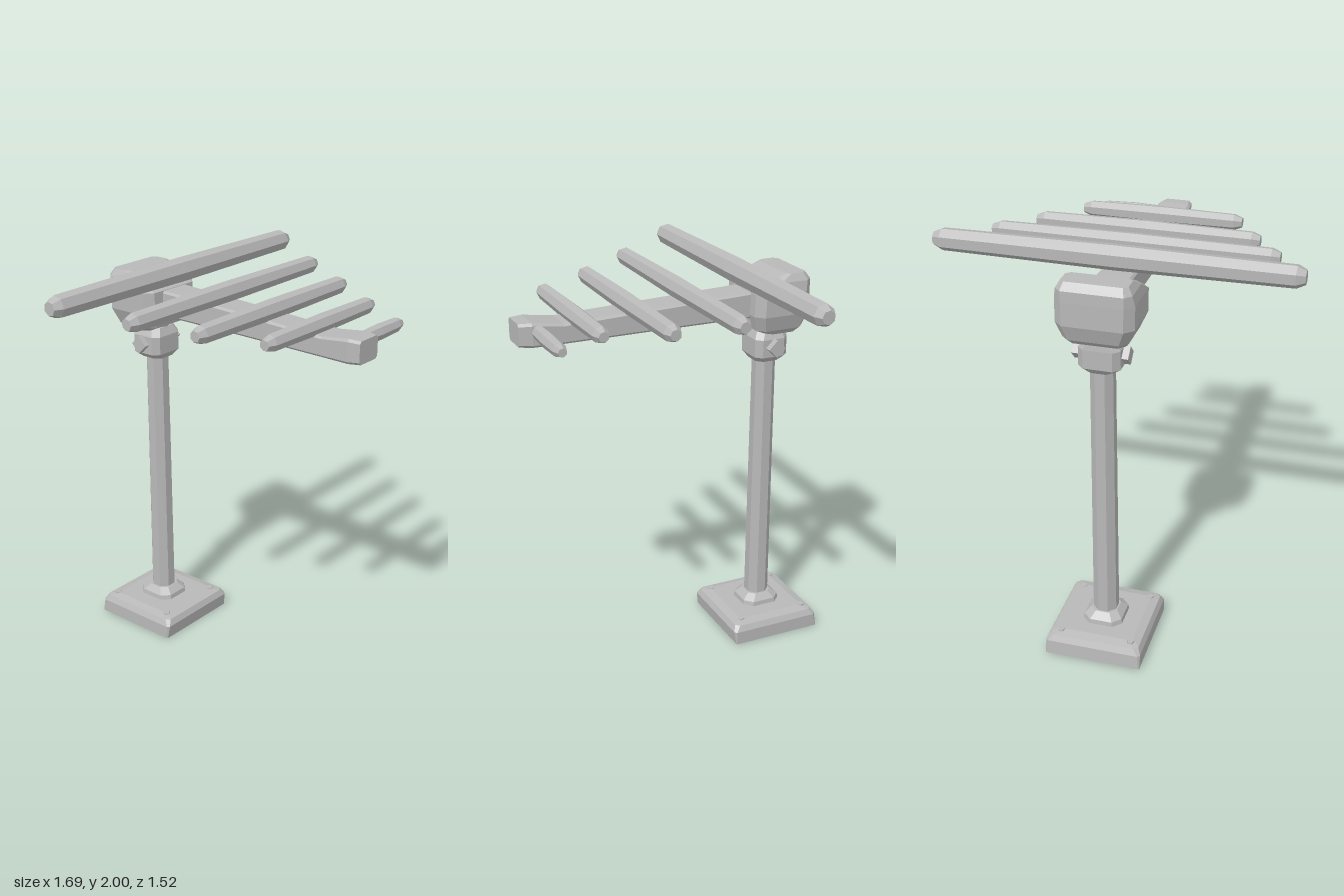
import * as THREE from 'three';

const gray = new THREE.MeshStandardMaterial({ color: 0xb8b8b8 });
gray.name = 'plain gray';
gray.flatShading = true;

// Closed loft along y through chamfered rectangles [y, x0, x1, z0, z1, chamfer]
function loft(sections) {
  const pos = [], idx = [], n = 8;
  for (const [y, x0, x1, z0, z1, c] of sections) {
    const ring = [
      [x0, z0 + c], [x0, z1 - c], [x0 + c, z1], [x1 - c, z1],
      [x1, z1 - c], [x1, z0 + c], [x1 - c, z0], [x0 + c, z0],
    ];
    for (const [x, z] of ring) pos.push(x, y, z);
  }
  for (let s = 0; s < sections.length - 1; s++) {
    for (let i = 0; i < n; i++) {
      const a = s * n + i, b = s * n + (i + 1) % n;
      idx.push(a, b, a + n, b, b + n, a + n);
    }
  }
  const top = (sections.length - 1) * n;
  for (let i = 1; i < n - 1; i++) {
    idx.push(0, i + 1, i);
    idx.push(top, top + i, top + i + 1);
  }
  const g = new THREE.BufferGeometry();
  g.setAttribute('position', new THREE.Float32BufferAttribute(pos, 3));
  g.setIndex(idx);
  g.computeVertexNormals();
  return g;
}

// Rod along x with chamfered ends, slightly thicker in the middle
function rod(x0, x1, r, sides) {
  const mid = (x0 + x1) / 2;
  const profile = [
    [0, x0], [r * 0.55, x0], [r * 0.88, x0 + 0.04], [r, mid],
    [r * 0.88, x1 - 0.04], [r * 0.55, x1], [0, x1],
  ].map(([a, b]) => new THREE.Vector2(a, b));
  return new THREE.LatheGeometry(profile, sides).rotateZ(-Math.PI / 2);
}

export function createModel() {
  const model = new THREE.Group();
  const mastZ = -0.515;
  const add = (name, geometry, x = 0, y = 0, z = 0) => {
    const mesh = new THREE.Mesh(geometry, gray);
    mesh.name = name;
    mesh.position.set(x, y, z);
    model.add(mesh);
    return mesh;
  };

  // Square foot with a bevelled top
  add('basePlate', loft([
    [0, -0.235, 0.24, -0.757, -0.28, 0.005],
    [0.07, -0.235, 0.24, -0.75, -0.27, 0.012],
    [0.1, -0.22, 0.225, -0.735, -0.285, 0.02],
    [0.112, -0.18, 0.18, -0.69, -0.33, 0.02],
  ]));
  for (const sx of [-1, 1]) {
    for (const sz of [-1, 1]) {
      add('baseBolt', new THREE.CylinderGeometry(0.018, 0.025, 0.03, 5), sx * 0.175, 0.1, mastZ + sz * 0.18);
    }
  }

  // Mast and its lower collar
  add('lowerCollar', loft([
    [0.1, -0.1, 0.1, -0.62, -0.41, 0.04],
    [0.135, -0.095, 0.095, -0.615, -0.415, 0.04],
    [0.165, -0.065, 0.065, -0.58, -0.45, 0.03],
  ]));
  const mast = new THREE.CylinderGeometry(0.058, 0.063, 1.45, 8).rotateY(Math.PI / 8);
  add('mast', mast, 0, 0.825, mastZ);

  // Clamp under the head, with a cross bolt
  add('clamp', loft([
    [1.48, -0.065, 0.065, -0.58, -0.45, 0.03],
    [1.51, -0.1, 0.095, -0.605, -0.43, 0.03],
    [1.6, -0.1, 0.095, -0.605, -0.43, 0.03],
    [1.64, -0.075, 0.075, -0.6, -0.45, 0.03],
  ]));
  add('clampBolt', new THREE.CylinderGeometry(0.045, 0.045, 0.26, 4).rotateZ(Math.PI / 2), 0, 1.56, -0.52);
  add('neck', new THREE.CylinderGeometry(0.08, 0.06, 0.07, 8), 0, 1.645, mastZ);

  // Bulky head at the rear of the boom
  add('head', loft([
    [1.64, -0.13, 0.13, -0.63, -0.46, 0.03],
    [1.665, -0.15, 0.15, -0.655, -0.405, 0.035],
    [1.74, -0.183, 0.173, -0.682, -0.385, 0.04],
    [1.85, -0.185, 0.173, -0.682, -0.39, 0.04],
    [1.9, -0.175, 0.165, -0.68, -0.48, 0.03],
    [1.935, -0.155, 0.145, -0.655, -0.55, 0.02],
  ]));

  // Boom: lofted along y, then turned to run along z
  add('boom', loft([
    [-0.45, -0.085, 0.085, -1.85, -1.72, 0.01],
    [0.1, -0.085, 0.08, -1.83, -1.72, 0.01],
    [0.55, -0.09, 0.072, -1.812, -1.717, 0.01],
    [0.7, -0.097, 0.07, -1.832, -1.717, 0.012],
    [0.76, -0.088, 0.052, -1.83, -1.722, 0.012],
  ]).rotateX(Math.PI / 2));

  // Cross bars: [x0, x1, y, z, radius], growing toward the rear
  const bars = [
    [-0.85, 0.84, 1.942, -0.352, 0.06],
    [-0.69, 0.68, 1.892, -0.045, 0.05],
    [-0.55, 0.555, 1.858, 0.222, 0.049],
    [-0.41, 0.4, 1.84, 0.49, 0.045],
    [0.0, 0.375, 1.788, 0.67, 0.038],
  ];
  for (const [x0, x1, y, z, r] of bars) add('crossBar', rod(x0, x1, r, 7), 0, y, z);

  return model;
}
